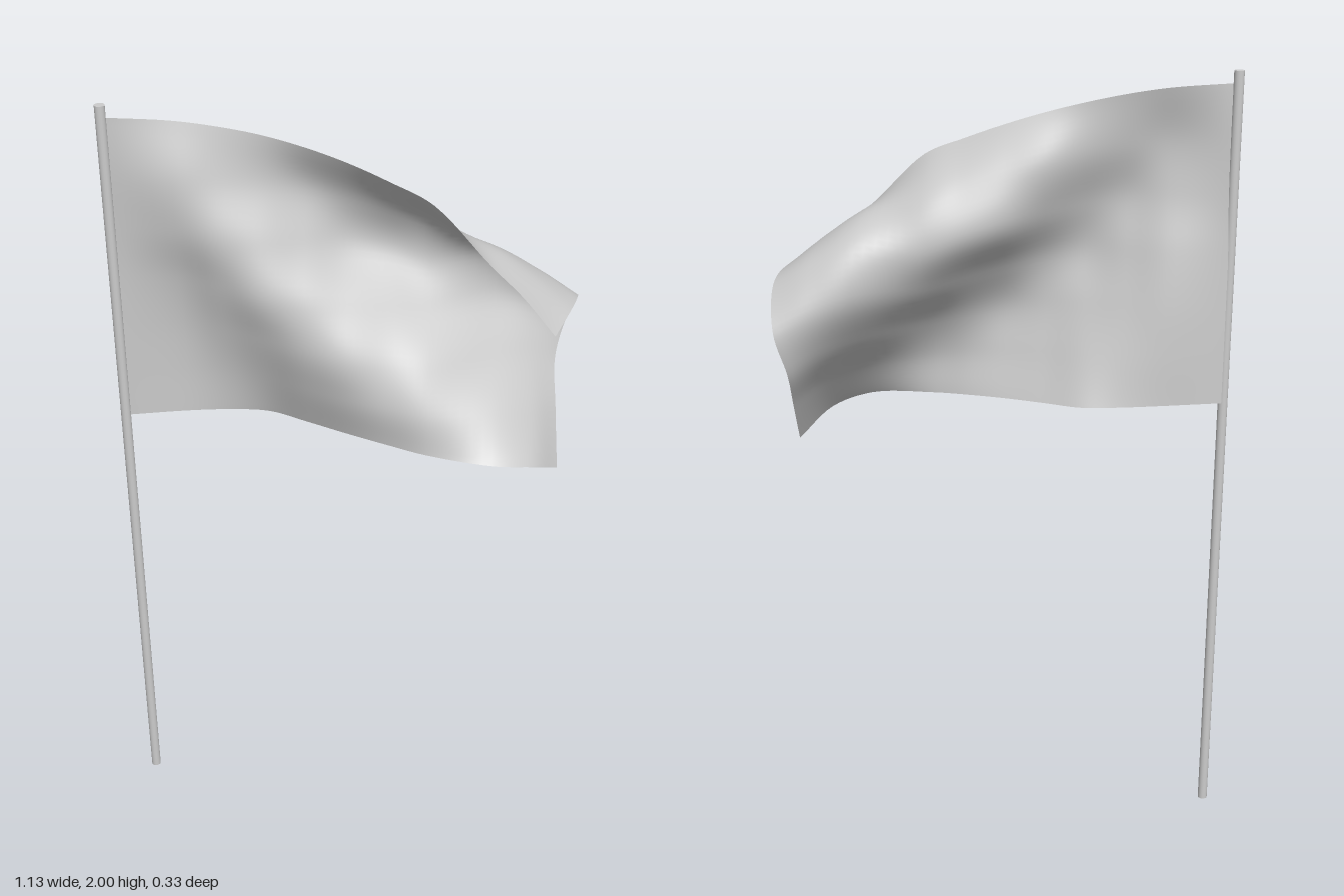
import * as THREE from 'three';

const POLE_X = -0.555, POLE_Z = 0.032, ROWS = 6;

// Upright cross-section: edges sag with distance from the pole, z follows a wave
function uprightSection(x, waveAt) {
  const u = x + 0.55;
  const top = 1.97 - 0.02 * u - 0.3 * u * u;
  const bottom = 1.175 - 0.05 * u * u;
  return Array.from({ length: ROWS + 1 }, (_, i) =>
    new THREE.Vector3(x, THREE.MathUtils.lerp(top, bottom, i / ROWS), waveAt(i)));
}

// Wave depths from top to bottom, every 0.1 along the cloth from x = -0.4
const waves = [
  [0.02, 0.053, 0.048, 0.018, -0.002, -0.012, -0.016],
  [0.015, 0.038, 0.07, 0.052, 0.02, -0.008, -0.028],
  [0.012, 0.01, 0.057, 0.086, 0.056, 0.014, -0.028],
  [0.018, -0.025, 0.008, 0.078, 0.09, 0.06, 0.015],
  [0.03, -0.037, -0.05, 0.045, 0.105, 0.096, 0.06],
  [0.05, -0.045, -0.077, 0.005, 0.088, 0.115, 0.1],
  [0.075, -0.055, -0.088, -0.035, 0.068, 0.125, 0.135],
];

// Curled cross-sections of the fly end, top edge to bottom edge
const curls = [
  [[0.33, 1.66, 0.115], [0.34, 1.655, 0], [0.36, 1.58, -0.1], [0.365, 1.46, -0.122],
    [0.36, 1.34, -0.035], [0.36, 1.235, 0.08], [0.36, 1.135, 0.16]],
  [[0.41, 1.59, 0.14], [0.45, 1.587, 0.02], [0.47, 1.54, -0.09], [0.465, 1.43, -0.147],
    [0.455, 1.32, -0.098], [0.46, 1.21, 0.012], [0.46, 1.108, 0.12]],
  [[0.49, 1.5, 0.163], [0.54, 1.515, 0.04], [0.563, 1.49, -0.07], [0.552, 1.39, -0.16],
    [0.527, 1.28, -0.138], [0.53, 1.17, -0.06], [0.535, 1.05, 0.03]],
];

// Cloth sections from the hoist to the fly end
const sections = [
  uprightSection(-0.55, (i) => POLE_Z - 0.0035 * i),
  ...waves.map((wave, k) => uprightSection(-0.4 + 0.1 * k, (i) => wave[i])),
  ...curls.map((points) => points.map((p) => new THREE.Vector3(...p))),
];

// Smooth sheet: splines down each section, then splines across them
function clothGeometry(across, down) {
  const geometry = new THREE.PlaneGeometry(1, 1, across, down);
  const position = geometry.attributes.position;
  const columns = sections.map((points) => new THREE.CatmullRomCurve3(points));
  for (let j = 0; j <= down; j++) {
    const row = new THREE.CatmullRomCurve3(columns.map((c) => c.getPoint(j / down)));
    for (let i = 0; i <= across; i++) {
      const p = row.getPoint(i / across);
      position.setXYZ(j * (across + 1) + i, p.x, p.y, p.z);
    }
  }
  geometry.computeVertexNormals();
  return geometry;
}

export function createModel() {
  const group = new THREE.Group();
  group.name = 'flagOnPole';

  // Pole
  const pole = new THREE.Mesh(
    new THREE.CylinderGeometry(0.0125, 0.0125, 2, 16),
    new THREE.MeshStandardMaterial({ color: 0xcccccc })
  );
  pole.name = 'pole';
  pole.position.set(POLE_X, 1, POLE_Z);
  group.add(pole);

  // Waving cloth
  const cloth = new THREE.Mesh(
    clothGeometry(60, 42),
    new THREE.MeshStandardMaterial({ color: 0xcccccc, side: THREE.DoubleSide })
  );
  cloth.name = 'flagCloth';
  group.add(cloth);

  return group;
}
